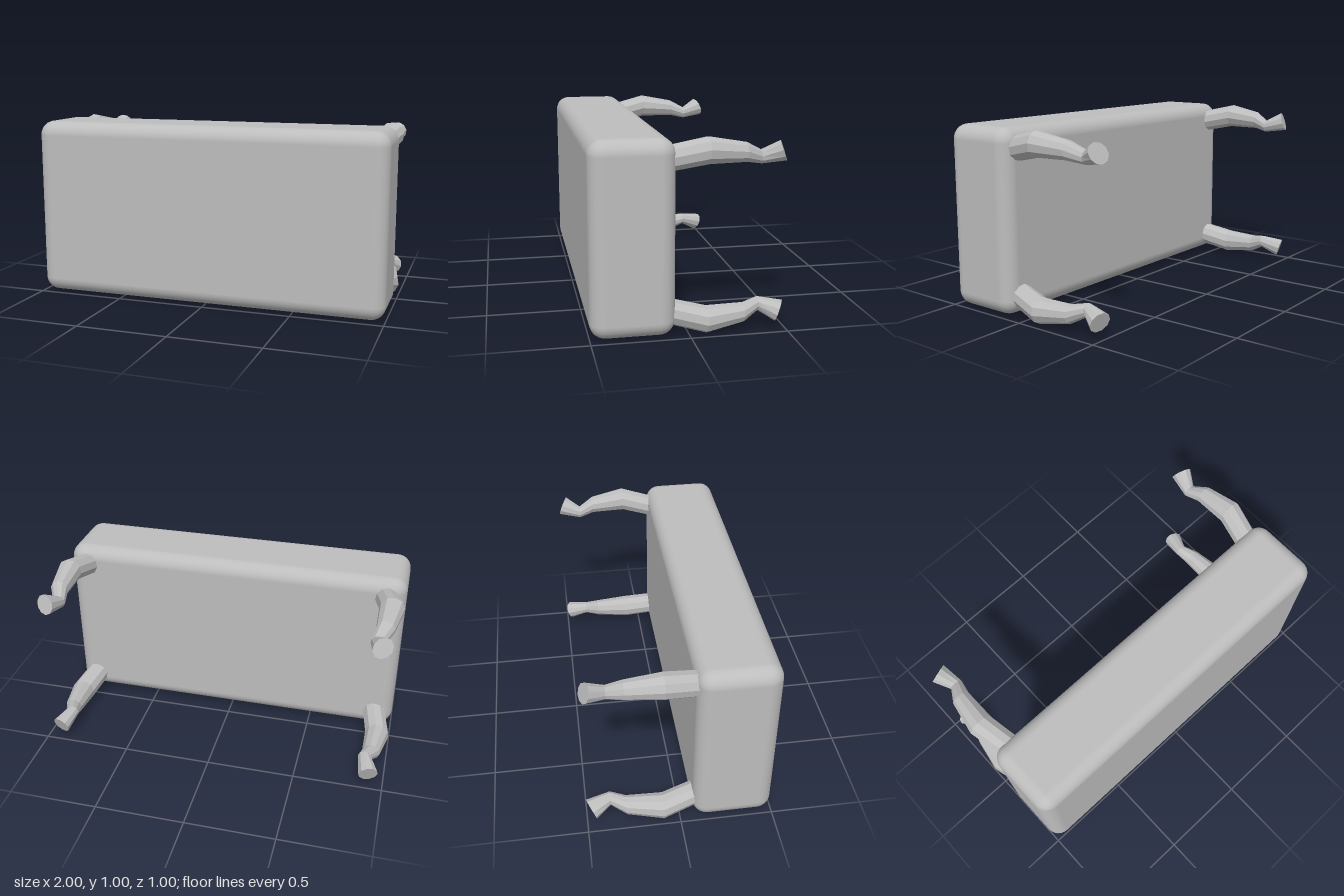
import * as THREE from 'three';
import { RoundedBoxGeometry } from 'three/addons/geometries/RoundedBoxGeometry.js';

const SIDES = 10;

// Leg cross-sections: [offset toward the corner, z, radius, tilt along the diagonal]
const SECTIONS = [
  [0.884, 0.12, 0.067, 0],
  [0.93, -0.09, 0.07, 0],
  [0.913, -0.285, 0.051, 0],
  [0.882, -0.37, 0.036, 0],
  [0.916, -0.475, 0.053, 0.026],
];

// Faceted curved leg leaning toward the corner given by the signs sx, sy
function legGeometry(sx, sy) {
  const positions = [];
  const index = [];
  const diagonal = Math.atan2(sy, sx);
  for (const [c, z, r, tilt] of SECTIONS) {
    for (let j = 0; j < SIDES; j++) {
      const a = diagonal + (j / SIDES) * Math.PI * 2;
      positions.push(
        sx * c + r * Math.cos(a),
        0.5 + sy * (c - 0.5) + r * Math.sin(a),
        z + tilt * Math.cos(a - diagonal)
      );
    }
  }
  const last = SECTIONS.length - 1;
  for (let i = 0; i < last; i++) {
    for (let j = 0; j < SIDES; j++) {
      const k = (j + 1) % SIDES;
      const a = i * SIDES + j, b = i * SIDES + k;
      index.push(a, a + SIDES, b, b, a + SIDES, b + SIDES);
    }
  }
  // Foot cap
  const base = last * SIDES;
  for (let j = 1; j < SIDES - 1; j++) index.push(base, base + j + 1, base + j);

  const indexed = new THREE.BufferGeometry();
  indexed.setAttribute('position', new THREE.Float32BufferAttribute(positions, 3));
  indexed.setIndex(index);
  const geometry = indexed.toNonIndexed();
  geometry.computeVertexNormals();
  return geometry;
}

export function createModel() {
  const group = new THREE.Group();
  group.name = 'footstool';

  const grey = new THREE.MeshStandardMaterial({ color: 0xbdbdbd });
  grey.name = 'plain grey';

  // Padded block with rounded edges
  const cushion = new THREE.Mesh(new RoundedBoxGeometry(2, 0.995, 0.43, 4, 0.08), grey);
  cushion.name = 'cushion';
  cushion.position.set(0, 0.5025, 0.285);
  group.add(cushion);

  // Four curved legs, one at each corner
  for (const sx of [1, -1]) {
    for (const sy of [1, -1]) {
      const leg = new THREE.Mesh(legGeometry(sx, sy), grey);
      leg.name = (sy > 0 ? 'upper' : 'lower') + (sx > 0 ? 'Left' : 'Right') + 'Leg';
      group.add(leg);
    }
  }
  return group;
}
